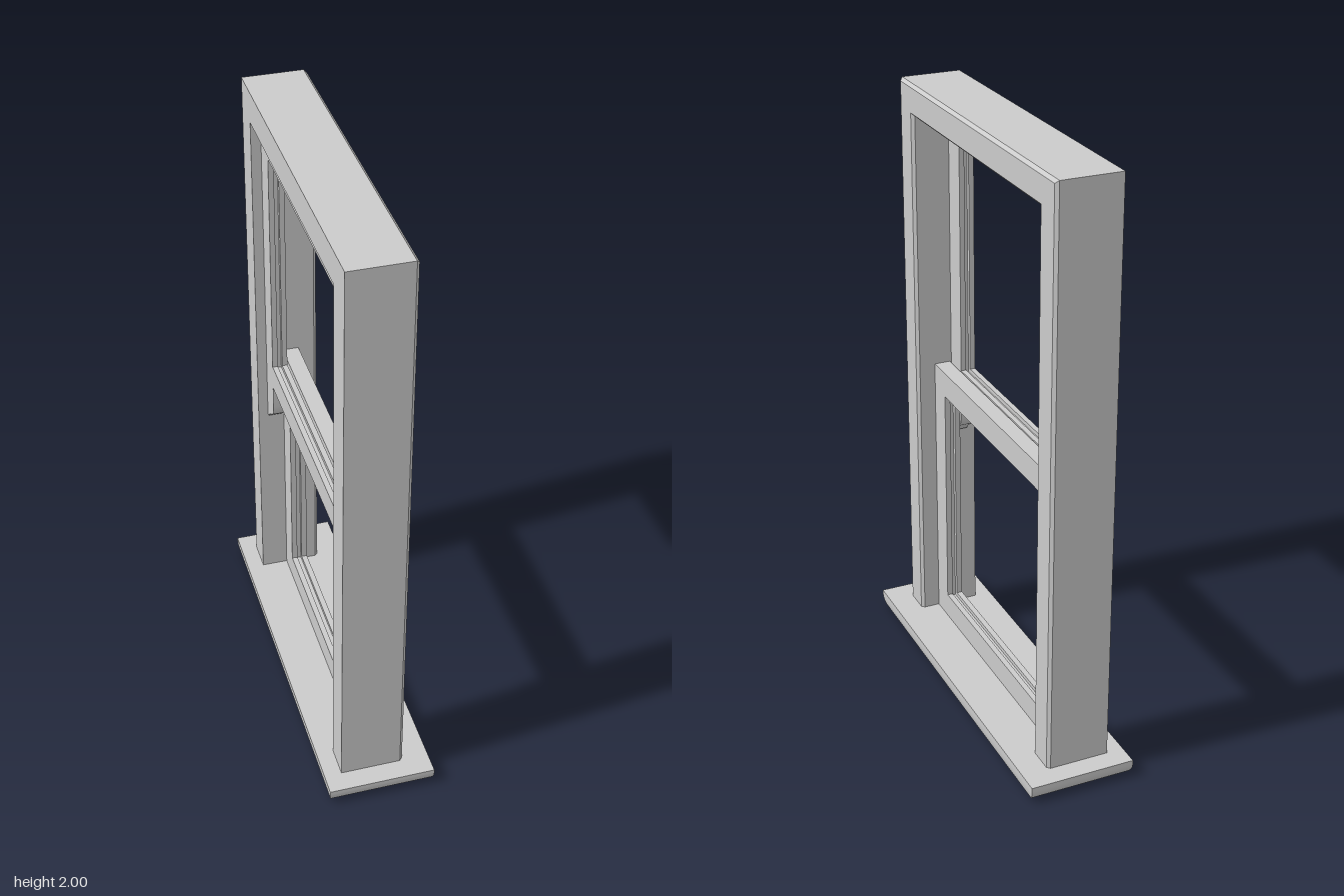
import * as THREE from 'three';
import { toCreasedNormals } from 'three/addons/utils/BufferGeometryUtils.js';

const material = new THREE.MeshStandardMaterial({ color: 0xcccccc });

function part(name, geometry) {
  const mesh = new THREE.Mesh(geometry, material);
  mesh.name = name;
  return mesh;
}

// Sweeps a closed profile of [inset, x] points along mitred corners
// [z, y, inward z, inward y] lying in the plane of the window.
function sweep(profile, corners, closed) {
  const at = (i, j) => {
    const [z, y, dz, dy] = corners[i % corners.length];
    const [inset, x] = profile[j % profile.length];
    return [x, y + dy * inset, z + dz * inset];
  };
  const positions = [];
  const segments = closed ? corners.length : corners.length - 1;
  for (let i = 0; i < segments; i++) {
    for (let j = 0; j < profile.length; j++) {
      const a = at(i, j), b = at(i + 1, j), c = at(i + 1, j + 1), d = at(i, j + 1);
      positions.push(...a, ...b, ...c, ...a, ...c, ...d);
    }
  }
  const geometry = new THREE.BufferGeometry();
  geometry.setAttribute('position', new THREE.Float32BufferAttribute(positions, 3));
  geometry.computeVertexNormals();
  return geometry;
}

// Sash: four mitred rails with a glazing groove around the inner edge
function sash(name, y0, y1, back, front) {
  const h = 0.478, w = 0.088, groove = 0.074;
  const g0 = back + (front - back) * 0.35, g1 = back + (front - back) * 0.65;
  const profile = [
    [0, back], [0, front], [w, front], [w, g1],
    [groove, g1], [groove, g0], [w, g0], [w, back],
  ];
  const corners = [[-h, y0, 1, 1], [-h, y1, 1, -1], [h, y1, -1, -1], [h, y0, -1, 1]];
  return part(name, sweep(profile, corners, true));
}

// Horn: curved tail under the upper sash stile, tapering to its outer edge
function horn(name, side, top, back, front) {
  const shape = new THREE.Shape();
  shape.moveTo(-0.478, top);
  shape.lineTo(-0.478, 0.76);
  shape.lineTo(-0.465, 0.76);
  shape.bezierCurveTo(-0.44, 0.8, -0.392, 0.79, -0.39, 0.85);
  shape.lineTo(-0.39, top);
  shape.closePath();
  const geometry = new THREE.ExtrudeGeometry(shape, {
    depth: front - back, bevelEnabled: false, curveSegments: 10,
  });
  // shape x runs along z, extrusion runs along x
  geometry.rotateY(Math.PI / 2);
  geometry.translate(back, 0, 0);
  if (side < 0) {
    geometry.rotateY(Math.PI);
    geometry.translate(back + front, 0, 0);
  }
  return part(name, toCreasedNormals(geometry, 0.6));
}

// Sill: slab whose lower edges curve inwards
function sill() {
  const geometry = new THREE.BoxGeometry(0.355, 0.06, 1.3, 1, 16, 1);
  geometry.translate(0, 0.03, 0);
  const p = geometry.attributes.position;
  for (let i = 0; i < p.count; i++) {
    const t = THREE.MathUtils.clamp((0.048 - p.getY(i)) / 0.048, 0, 1);
    const curve = 1 - Math.sqrt(1 - t * t);
    p.setX(i, p.getX(i) - Math.sign(p.getX(i)) * 0.015 * curve);
    p.setZ(i, p.getZ(i) - Math.sign(p.getZ(i)) * 0.045 * curve);
  }
  geometry.computeVertexNormals();
  return part('sill', geometry);
}

export function createModel() {
  const group = new THREE.Group();
  group.name = 'sashWindow';

  // Frame: two jambs and a head, chamfered on the +x face
  const frameProfile = [
    [0, -0.12], [0, 0.08], [0.01, 0.09], [0.094, 0.09], [0.104, 0.08], [0.104, -0.12],
  ];
  const frameCorners = [
    [-0.58, 0.05, 1, 0], [-0.58, 2, 1, -1], [0.58, 2, -1, -1], [0.58, 0.05, -1, 0],
  ];
  group.add(part('frame', sweep(frameProfile, frameCorners, false)));
  group.add(sill());

  // Sliding sashes, one behind the other
  group.add(sash('lowerSash', 0.058, 1.02, -0.03, 0.025));
  group.add(sash('upperSash', 0.93, 1.896, -0.087, -0.036));
  group.add(horn('leftHorn', 1, 0.935, -0.087, -0.036));
  group.add(horn('rightHorn', -1, 0.935, -0.087, -0.036));
  return group;
}
